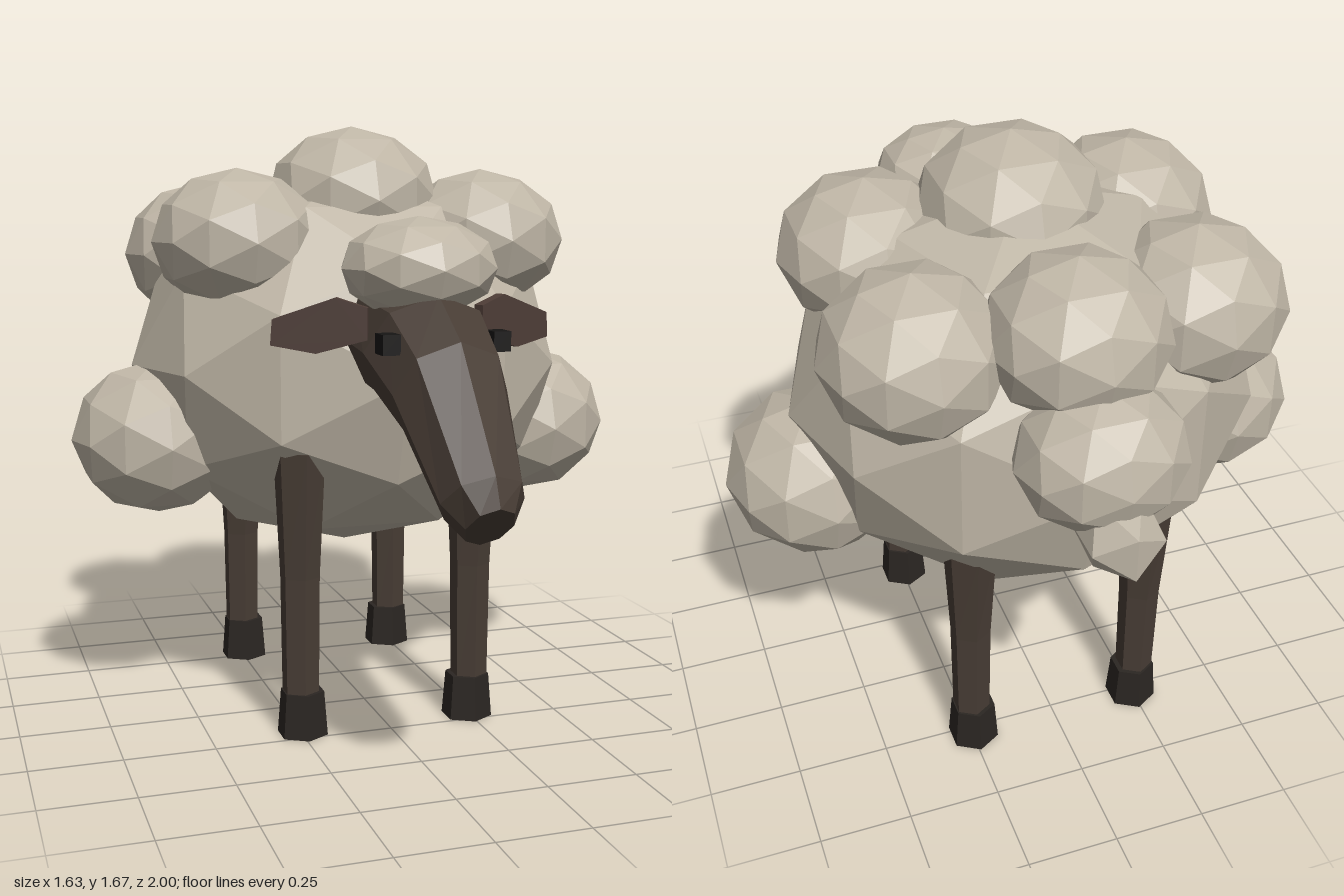
import * as THREE from 'three';

const mat = (color) => new THREE.MeshStandardMaterial({ color, flatShading: true });

export function createModel() {
  const model = new THREE.Group();
  const wool = mat(0xbfb6a6), skin = mat(0x483d35), hoofMat = mat(0x2b2622);
  const earMat = mat(0x4e3d37), eyeMat = mat(0x171514);

  function add(name, geometry, material, x = 0, y = 0, z = 0) {
    const mesh = new THREE.Mesh(geometry, material);
    mesh.name = name;
    mesh.position.set(x, y, z);
    model.add(mesh);
    return mesh;
  }

  // Faceted ball of wool: centre and radii
  function puff(name, [x, y, z], [rx, ry, rz], detail = 1) {
    return add(name, new THREE.IcosahedronGeometry(1, detail).scale(rx, ry, rz), wool, x, y, z);
  }

  // Fleece
  puff('body', [0, 1.0, -0.2], [0.635, 0.555, 0.59]);
  puff('topPuff', [0, 1.465, -0.12], [0.25, 0.21, 0.262]);
  puff('rearTopPuff', [0, 1.355, -0.59], [0.235, 0.21, 0.235]);
  puff('rumpPuff', [0, 1.125, -0.765], [0.22, 0.19, 0.195]);
  puff('headPuff', [0, 1.3, 0.455], [0.205, 0.13, 0.19]);
  puff('tail', [0, 0.985, -0.88], [0.11, 0.115, 0.141], 0);
  for (const s of [1, -1]) {
    puff('shoulderPuff', [s * 0.36, 1.355, -0.025], [0.24, 0.2, 0.248]);
    puff('hipPuff', [s * 0.365, 1.305, -0.465], [0.242, 0.215, 0.245]);
    puff('sidePuff', [s * 0.57, 0.795, -0.172], [0.245, 0.222, 0.252]);
  }

  // Head: eight-sided sections, each [top z, top y, bottom z, bottom y, half width]
  const sections = [
    [0.25, 1.27, 0.37, 0.95, 0.155],
    [0.60, 1.24, 0.43, 0.95, 0.168],
    [0.75, 1.14, 0.62, 0.88, 0.148],
    [0.97, 0.86, 0.82, 0.715, 0.105],
    [1.00, 0.79, 0.88, 0.68, 0.06],
  ];
  const n = 8, points = [], faces = [];
  for (const [tz, ty, bz, by, w] of sections) {
    for (let j = 0; j < n; j++) {
      const a = (j / n) * Math.PI * 2, t = (1 - Math.cos(a)) / 2;
      points.push(w * Math.sin(a), ty + (by - ty) * t, tz + (bz - tz) * t);
    }
  }
  const last = (sections.length - 1) * n;
  for (let j = 0; j < n; j++) {
    const k = (j + 1) % n;
    for (let r = 0; r < last; r += n) {
      faces.push(r + j, r + n + j, r + k, r + k, r + n + j, r + n + k);
    }
    if (j > 0 && k > 0) faces.push(0, j, k, last, last + k, last + j);
  }
  const headGeometry = new THREE.BufferGeometry();
  headGeometry.setAttribute('position', new THREE.Float32BufferAttribute(points, 3));
  headGeometry.setIndex(faces);
  headGeometry.computeVertexNormals();
  add('head', headGeometry, skin);

  // Ear outline, starting at the root
  const earShape = new THREE.Shape([
    [-0.04, -0.03], [0.09, -0.065], [0.205, -0.045], [0.2, 0.02], [0.04, 0.075], [-0.04, 0.05],
  ].map(([x, y]) => new THREE.Vector2(x, y)));
  const earGeometry = new THREE.ExtrudeGeometry(earShape, { depth: 0.03, bevelEnabled: false });
  earGeometry.translate(0, 0, -0.015);

  for (const s of [1, -1]) {
    // The thin ear is symmetric front to back, so half a turn mirrors it
    const ear = add('ear', earGeometry, earMat, s * 0.185, 1.155, 0.48);
    ear.rotation.y = s > 0 ? 0.4 : Math.PI - 0.4;

    add('eye', new THREE.BoxGeometry(0.045, 0.05, 0.06), eyeMat, s * 0.143, 1.128, 0.635);

    // Legs and hooves, front pair then back pair
    for (const [name, z, top] of [['front', 0.205, 0.8], ['back', -0.52, 0.72]]) {
      const leg = new THREE.CylinderGeometry(0.06, 0.052, top - 0.1, 6, 2);
      const p = leg.attributes.position;
      // Widen the thigh above the knee
      for (let i = 0; i < p.count; i++) {
        if (p.getY(i) > 0.1) {
          p.setX(i, p.getX(i) * 1.2);
          p.setZ(i, p.getZ(i) * 1.35);
        }
      }
      add(name + 'Leg', leg, skin, s * 0.25, (top + 0.1) / 2, z);
      add(name + 'Hoof', new THREE.CylinderGeometry(0.062, 0.072, 0.125, 6), hoofMat, s * 0.245, 0.0625, z);
    }
  }
  return model;
}
